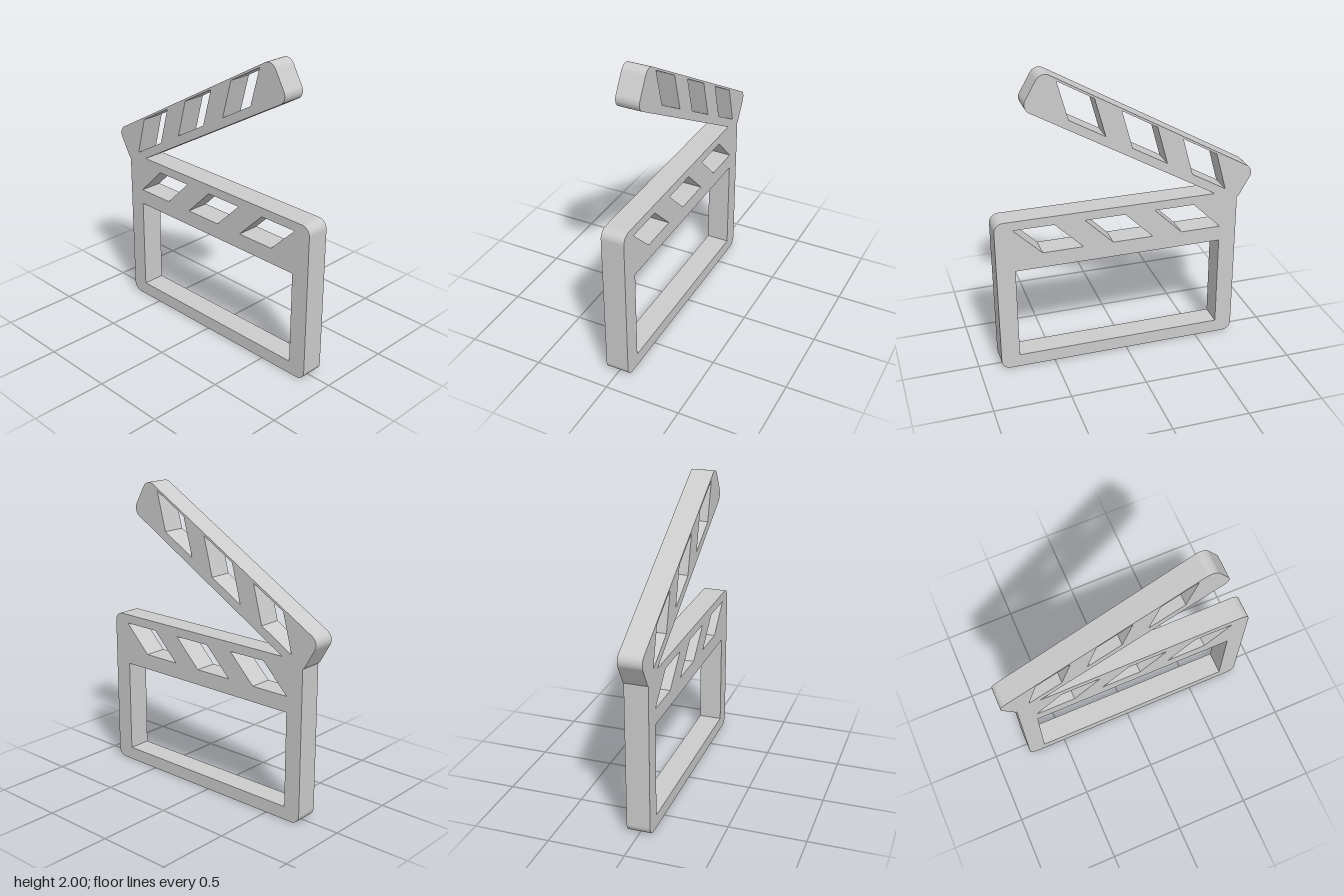
import * as THREE from 'three';

const DEPTH = 0.154;
const WIDTH = 1.62;
const RADIUS = 0.06;

// Rectangle with rounded corners, lower left corner at the origin
function roundedRect(w, h, r) {
  const s = new THREE.Shape();
  s.absarc(w - r, r, r, -Math.PI / 2, 0);
  s.absarc(w - r, h - r, r, 0, Math.PI / 2);
  s.absarc(r, h - r, r, Math.PI / 2, Math.PI);
  s.absarc(r, r, r, Math.PI, Math.PI * 1.5);
  s.closePath();
  return s;
}

function addHole(shape, corners) {
  shape.holes.push(new THREE.Path(corners.map(([x, y]) => new THREE.Vector2(x, y))));
}

// Row of three slanted stripe openings
function addStripes(shape, y) {
  for (let i = 0; i < 3; i++) {
    const x = 0.115 + i * 0.467;
    addHole(shape, [[x, y], [x + 0.187, y + 0.186], [x + 0.455, y + 0.186], [x + 0.268, y]]);
  }
}

function plate(name, shape, material) {
  const geometry = new THREE.ExtrudeGeometry(shape, { depth: DEPTH, bevelEnabled: false, curveSegments: 6 });
  geometry.translate(0, 0, -DEPTH / 2);
  const mesh = new THREE.Mesh(geometry, material);
  mesh.name = name;
  return mesh;
}

export function createModel() {
  const group = new THREE.Group();
  group.name = 'clapperboard';
  const material = new THREE.MeshStandardMaterial({ color: 0xcccccc, flatShading: true });

  // Board frame with a window below the stripes
  const boardShape = roundedRect(WIDTH, 1.07, RADIUS);
  addStripes(boardShape, 0.824);
  addHole(boardShape, [[0.115, 0.088], [0.115, 0.72], [1.497, 0.72], [1.497, 0.088]]);
  const board = plate('board', boardShape, material);
  board.position.set(-0.762, 0, 0);

  // Clap stick, raised by 30 degrees
  const stickShape = roundedRect(WIDTH, 0.257, RADIUS);
  addStripes(stickShape, 0.057);
  const stick = plate('clapStick', stickShape, material);
  const angle = Math.PI / 6;
  stick.rotation.z = angle;
  const u = -0.153, v = 1.229;
  stick.position.set(u * Math.cos(angle) - v * Math.sin(angle), u * Math.sin(angle) + v * Math.cos(angle), 0);

  group.add(board, stick);
  return group;
}
